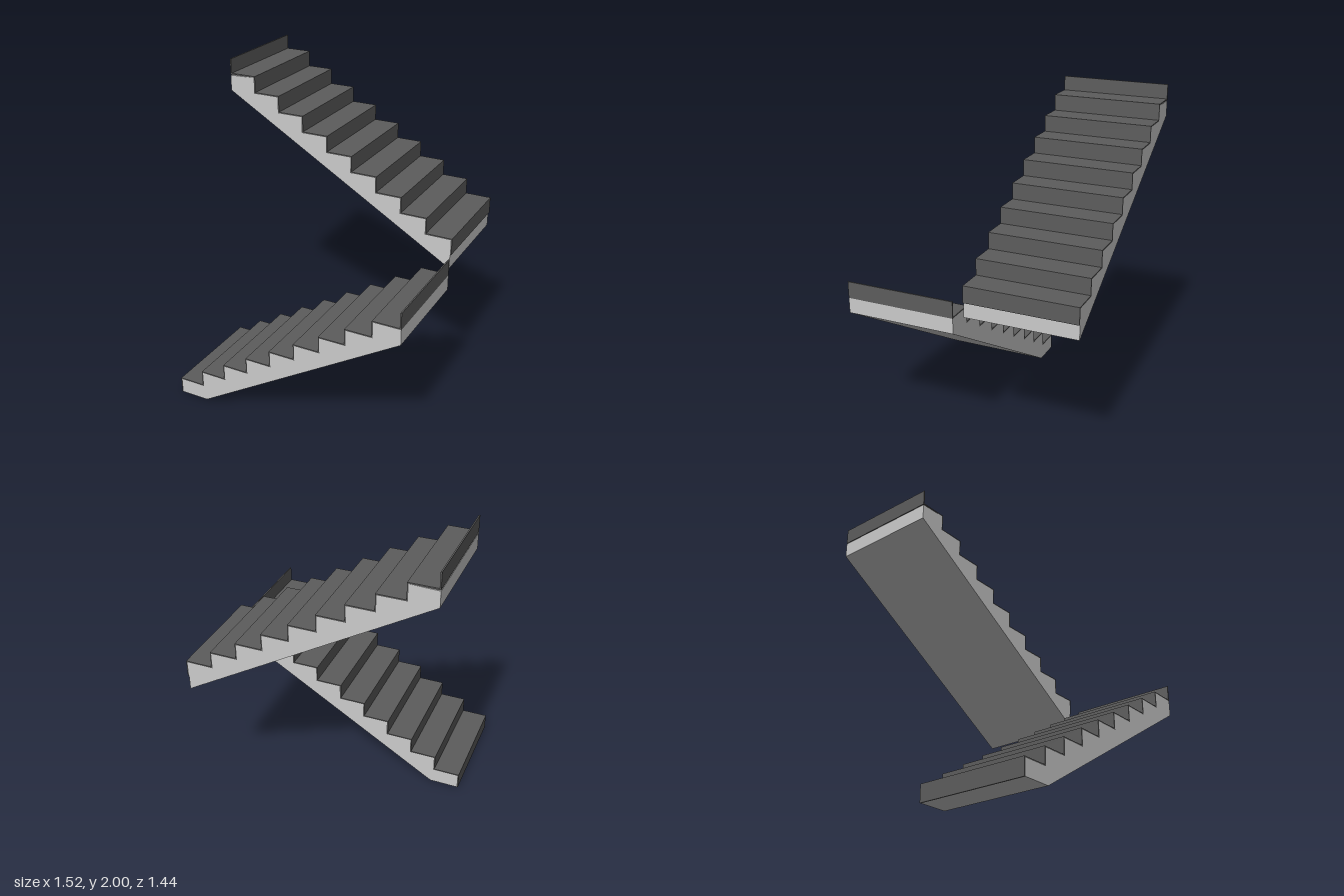
import * as THREE from 'three';

const STEPS = 10, RUN = 1.5 / 9, RISE = 0.1, T = 0.008;
const WIDTH = 0.69, START = -0.75;

const slabMaterial = new THREE.MeshStandardMaterial({ color: 0xcccccc });
const claddingMaterial = new THREE.MeshStandardMaterial({ color: 0x5c5c5c });

// One flight climbing towards +x; foot lists the slab's bottom corners at its low end
function createFlight(name, foot, rise) {
  const flight = new THREE.Group();
  flight.name = name;

  const box = (label, w, h, x, y) => {
    const mesh = new THREE.Mesh(new THREE.BoxGeometry(w, h, WIDTH), claddingMaterial);
    mesh.name = label;
    mesh.position.set(x, y, 0);
    flight.add(mesh);
  };

  // Sawtooth slab with a sloping underside
  const end = START + (STEPS - 1) * RUN + T;
  const points = [...foot, [end, 0.8], [end, 0.9 - T / 2]];
  for (let i = STEPS - 2; i >= 0; i--) {
    const x = START + i * RUN + T, y = (i + 1) * rise - T / 2;
    points.push([x, y]);
    if (i > 0) points.push([x, y - rise]);
  }
  const shape = new THREE.Shape(points.map(([x, y]) => new THREE.Vector2(x, y)));
  const geometry = new THREE.ExtrudeGeometry(shape, { depth: WIDTH, bevelEnabled: false });
  geometry.translate(0, 0, -WIDTH / 2);
  const slab = new THREE.Mesh(geometry, slabMaterial);
  slab.name = 'slab';
  flight.add(slab);

  // Thin risers and treads; the last riser stands free at the top
  for (let i = 0; i < STEPS; i++) {
    const x = START + i * RUN;
    const bottom = i === 0 ? 0 : i * rise - T / 2;
    const top = i === STEPS - 1 ? 1 : (i + 1) * rise - T / 2;
    box('riser', T, top - bottom, x + T / 2, (top + bottom) / 2);
    if (i < STEPS - 1) box('tread', RUN + T, T, x + (RUN + T) / 2, (i + 1) * rise);
  }
  return flight;
}

export function createModel() {
  const model = new THREE.Group();
  model.name = 'staircase';

  // Lower flight rests on the floor with a flat foot
  const lower = createFlight('lowerFlight', [[START + T, 0], [-0.56, 0]], RISE);
  lower.position.z = 0.375;

  // Upper flight turns back and its slab drops below the first riser
  const upper = createFlight('upperFlight', [[START + T, -0.092]], RISE * 1.006);
  upper.rotation.y = Math.PI;
  upper.position.set(-0.004, 1, -0.375);

  model.add(lower, upper);
  return model;
}
